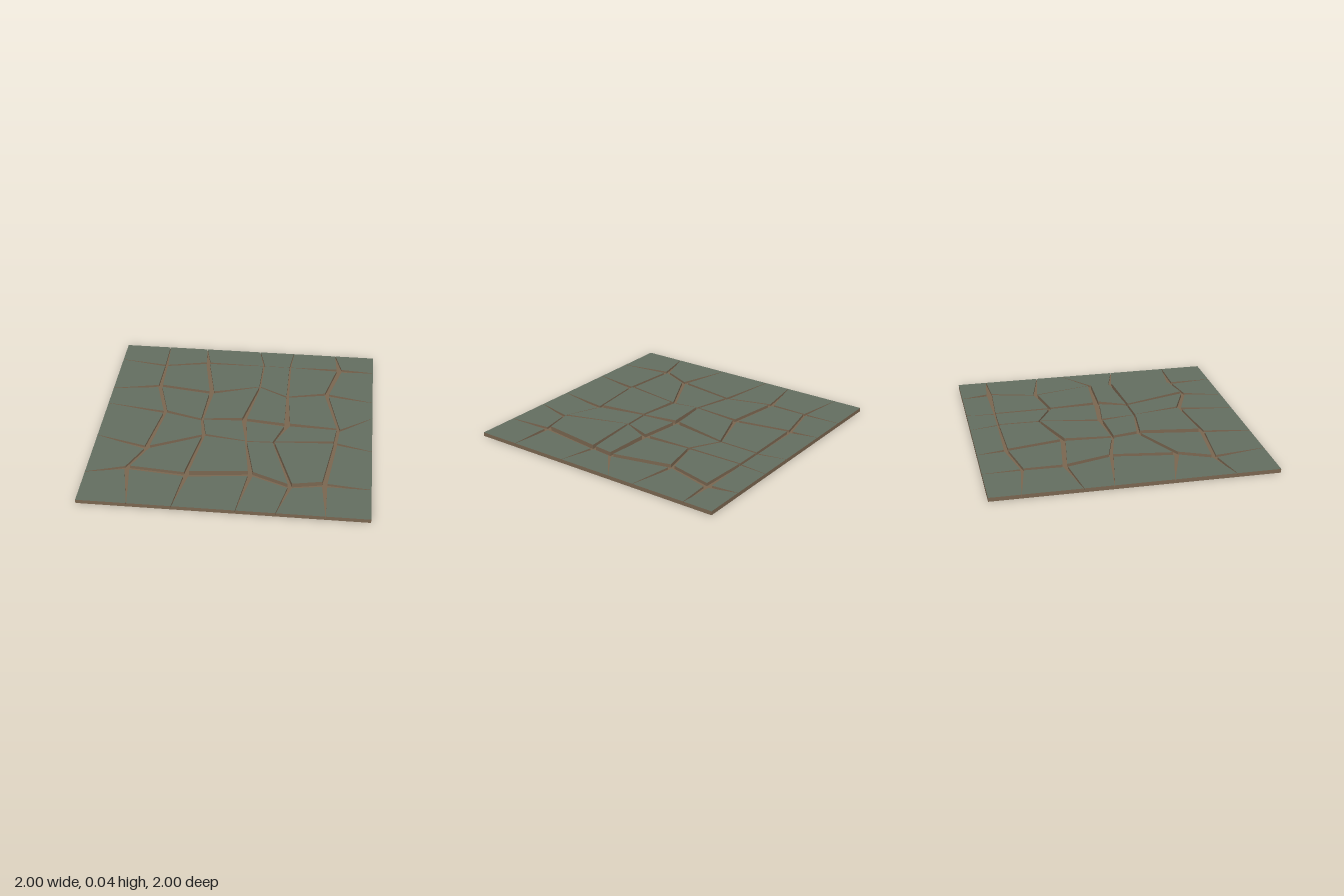
import * as THREE from 'three';

const FLOOR = 0.012; // level of the soil at the bottom of the cracks
const RIM = 0.028; // height of the plates along the border

// Where cracks meet the border, the same on opposite sides
const EDGE_X = [-1, -0.65, -0.345, 0.09, 0.362, 0.697, 1];
const EDGE_Z = [-1, -0.78, -0.365, -0.16, 0.253, 0.688, 1];

// Inner crack junctions, row by row from the back: x, z, crack width
const JUNCTIONS = [
  [[-0.64, -0.725, 0.022], [-0.312, -0.79, 0.03], [0.135, -0.79, 0.014], [0.345, -0.79, 0.014], [0.732, -0.785, 0.04]],
  [[-0.642, -0.427, 0.032], [-0.235, -0.372, 0.036], [0.13, -0.482, 0.014], [0.352, -0.368, 0.02], [0.65, -0.43, 0.032]],
  [[-0.552, -0.085, 0.028], [-0.26, -0.01, 0.02], [0.052, -0.035, 0.036], [0.372, 0, 0.042], [0.75, 0.02, 0.026]],
  [[-0.615, 0.365, 0.036], [-0.226, 0.192, 0.028], [0.09, 0.235, 0.014], [0.29, 0.225, 0.014], [0.735, 0.19, 0.026]],
  [[-0.712, 0.615, 0.034], [-0.29, 0.65, 0.036], [0.155, 0.605, 0.036], [0.438, 0.71, 0.03], [0.678, 0.67, 0.036]],
];

// Heights of the raised inner plates
const HEIGHTS = [
  [0.032, 0.034, 0.034, 0.035],
  [0.034, 0.038, 0.035, 0.037],
  [0.033, 0.041, 0.037, 0.042],
  [0.034, 0.045, 0.040, 0.044],
];

// Corner of a plate; sx and sz point from the junction into the plate
function corner(row, col, sx, sz) {
  const onX = col === 0 || col === 6, onZ = row === 0 || row === 6;
  if (onX || onZ) {
    const gap = 0.0015;
    return new THREE.Vector2(
      EDGE_X[col] + (onX ? 0 : sx * gap),
      EDGE_Z[row] + (onZ ? 0 : sz * gap));
  }
  const [x, z, width] = JUNCTIONS[row - 1][col - 1];
  return new THREE.Vector2(x + sx * width / 2, z + sz * width / 2);
}

// Four-sided plate with a flat top
function plate(corners, height, materials) {
  // Shape y becomes -z once the extrusion is laid flat
  const shape = new THREE.Shape(corners.map((p) => new THREE.Vector2(p.x, -p.y)));
  const geometry = new THREE.ExtrudeGeometry(shape, { depth: height - FLOOR, bevelEnabled: false });
  geometry.rotateX(-Math.PI / 2);
  geometry.translate(0, FLOOR, 0);
  return new THREE.Mesh(geometry, materials);
}

export function createModel() {
  const moss = new THREE.MeshStandardMaterial({ color: 0x636e60 });
  moss.name = 'mossGreen';
  const earth = new THREE.MeshStandardMaterial({ color: 0x7a6650 });
  earth.name = 'earthBrown';

  const model = new THREE.Group();
  model.name = 'crackedGround';

  // Soil slab under the plates
  const slab = new THREE.Mesh(new THREE.BoxGeometry(2, FLOOR, 2), earth);
  slab.name = 'soilSlab';
  slab.position.y = FLOOR / 2;
  model.add(slab);

  // Plates, border ones low and inner ones raised
  const plates = new THREE.Group();
  plates.name = 'groundPlates';
  for (let row = 0; row < 6; row++) {
    for (let col = 0; col < 6; col++) {
      const corners = [
        corner(row, col, 1, 1),
        corner(row, col + 1, -1, 1),
        corner(row + 1, col + 1, -1, -1),
        corner(row + 1, col, 1, -1),
      ];
      const inner = row > 0 && row < 5 && col > 0 && col < 5;
      const height = inner ? HEIGHTS[row - 1][col - 1] : RIM;
      const mesh = plate(corners, height, [moss, earth]);
      mesh.name = inner ? 'innerPlate' : 'borderPlate';
      plates.add(mesh);
    }
  }
  model.add(plates);
  return model;
}
